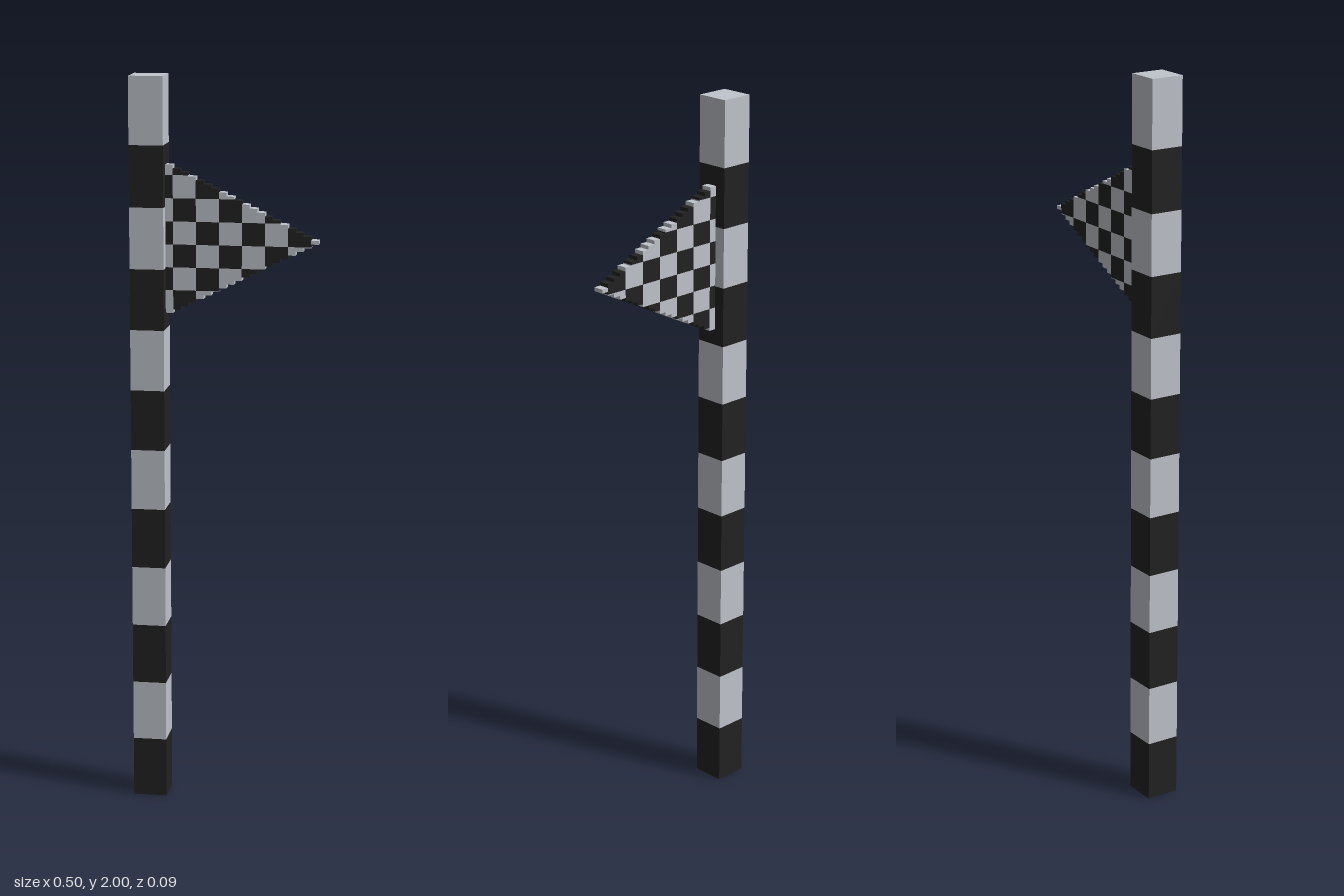
import * as THREE from 'three';
import { mergeGeometries } from 'three/addons/utils/BufferGeometryUtils.js';

export function createModel() {
  const model = new THREE.Group();
  model.name = 'checkeredPennant';
  const light = new THREE.MeshStandardMaterial({ color: 0xc0c4cc });
  light.name = 'lightGrey';
  const dark = new THREE.MeshStandardMaterial({ color: 0x222222 });
  dark.name = 'black';

  // Box given by its x and y limits and its depth, centred on z = 0
  const block = (x0, x1, y0, y1, depth) =>
    new THREE.BoxGeometry(x1 - x0, y1 - y0, depth).translate((x0 + x1) / 2, (y0 + y1) / 2, 0);

  const addPart = (name, geometries, material) => {
    const mesh = new THREE.Mesh(mergeGeometries(geometries), material);
    mesh.name = name;
    model.add(mesh);
  };

  // Square pole in alternating bands, the top one slightly taller
  const bands = { dark: [], light: [] };
  const bandHeight = 0.1653;
  for (let i = 0; i < 12; i++) {
    const top = i === 11 ? 2 : (i + 1) * bandHeight;
    bands[i % 2 ? 'light' : 'dark'].push(block(-0.252, -0.16, i * bandHeight, top, 0.092));
  }
  addPart('poleDarkBands', bands.dark, dark);
  addPart('poleLightBands', bands.light, light);

  // Stepped triangular flag: narrow columns cut into checker squares
  const checks = { dark: [], light: [] };
  const columns = 20, left = -0.16, step = 0.0206, square = step * 3;
  const middle = 1.565, rowBase = 1.552;
  for (let i = 0; i < columns; i++) {
    const half = 0.205 * (1 - (i + 0.5) / columns);
    const bottom = middle - half, top = middle + half;
    const x = left + i * step;
    const checkColumn = Math.floor((i - 1) / 3);
    for (let row = -4; row <= 4; row++) {
      const y0 = Math.max(bottom, rowBase + row * square);
      const y1 = Math.min(top, rowBase + (row + 1) * square);
      if (y1 - y0 < 0.0005) continue;
      const isDark = Math.abs(checkColumn + row) % 2 === 1;
      checks[isDark ? 'dark' : 'light'].push(block(x, x + step, y0, y1, 0.03));
    }
  }
  addPart('flagDarkChecks', checks.dark, dark);
  addPart('flagLightChecks', checks.light, light);

  return model;
}
